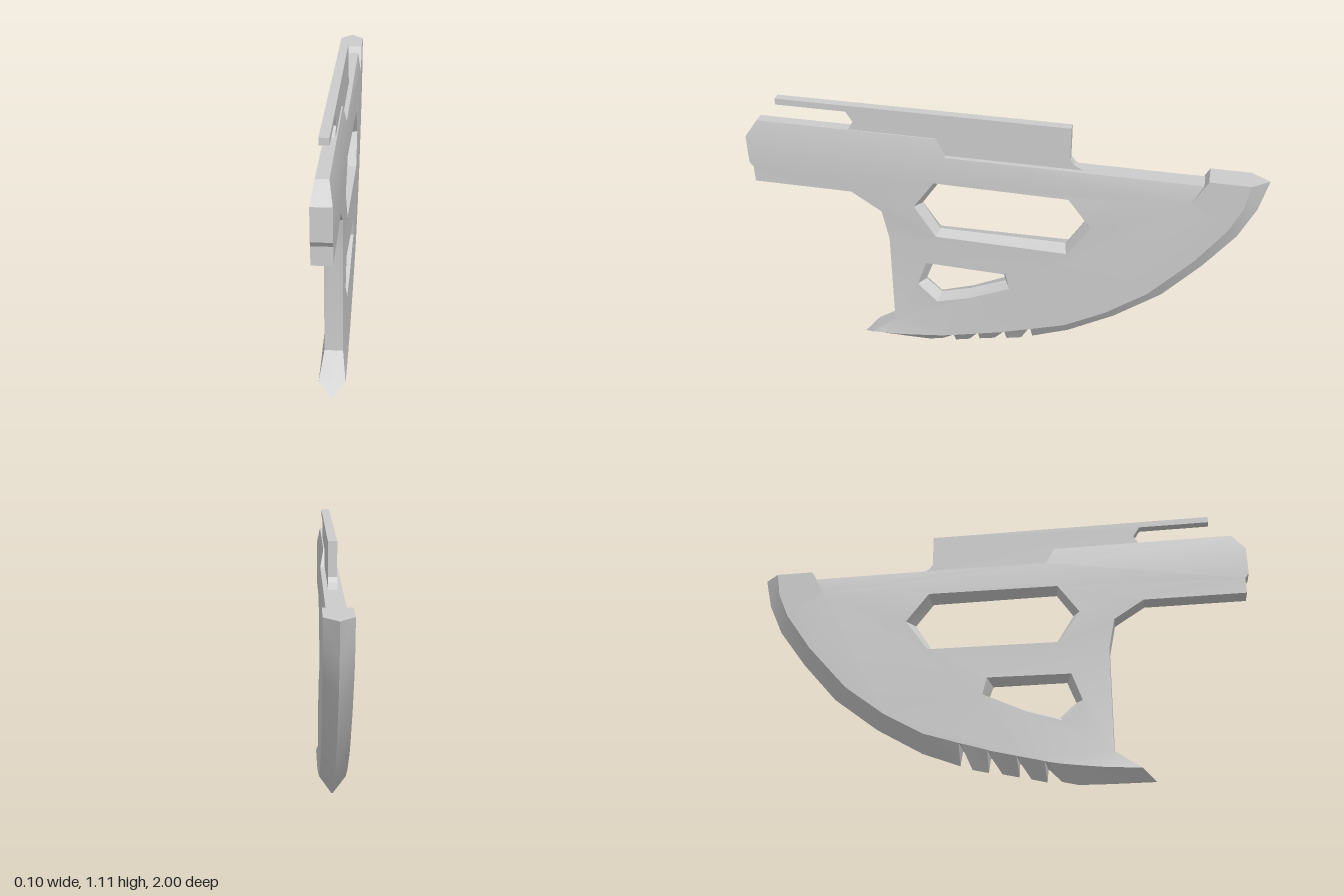
import * as THREE from 'three';
import { toCreasedNormals } from 'three/addons/utils/BufferGeometryUtils.js';

// Profile points are [z, y] or [z, y, halfThickness]; every surface is mirrored across x = 0.
const EDGE = 0.05, THIN = 0.035;

// Blade rows: crest z, crest y, cutting edge z, cutting edge y (serrated near the front)
const ROWS = [
  [0.54, 0.045, 0.59, 0.003], [0.41, 0.053, 0.42, 0.003], [0.29, 0.068, 0.3, 0.005],
  [0.235, 0.076, 0.24, 0.02], [0.19, 0.085, 0.19, 0.072], [0.18, 0.088, 0.185, 0.02],
  [0.12, 0.103, 0.125, 0.035], [0.083, 0.112, 0.083, 0.103], [0.075, 0.114, 0.08, 0.045],
  [0.01, 0.13, 0.015, 0.06], [-0.03, 0.14, -0.03, 0.132], [-0.037, 0.143, -0.037, 0.068],
  [-0.1, 0.163, -0.1, 0.083], [-0.137, 0.174, -0.137, 0.166], [-0.147, 0.177, -0.147, 0.1],
  [-0.287, 0.222, -0.297, 0.158], [-0.447, 0.313, -0.48, 0.265], [-0.608, 0.436, -0.66, 0.404],
  [-0.77, 0.62, -0.8, 0.565], [-0.876, 0.774, -0.913, 0.72], [-0.92, 0.876, -0.972, 0.85],
  [-0.935, 0.972, -1, 0.972],
];
const CREST = ROWS.map(([z, y]) => [z, y, EDGE]);

// The plate thickens away from its front and top edges
function halfThickness([z, y, h]) {
  if (h !== undefined) return h;
  const t = Math.min((0.44 - z) / 0.5, (0.945 - y) / 0.12, 1);
  return THIN + (EDGE - THIN) * Math.max(0, t);
}
const at = (p, x = halfThickness(p)) => [x, p[1], p[0]];

// Collects triangles together with their mirror images
class Surface {
  constructor() { this.data = []; }
  tri(a, b, c) {
    const flip = ([x, y, z]) => [-x, y, z];
    this.data.push(...a, ...b, ...c, ...flip(a), ...flip(c), ...flip(b));
  }
  quad(a, b, c, d) { this.tri(a, b, c); this.tri(a, c, d); }
  // Wall from the middle plane (p0, q0) out to the face (p, q)
  wall(p, q, p0 = p, q0 = q) { this.quad(at(p0, 0), at(q0, 0), at(q), at(p)); }
  // Flat side face with optional holes
  face(outline, holes = []) {
    const flat = (list) => list.map(([z, y]) => new THREE.Vector2(-z, y));
    const all = [outline, ...holes].flat();
    const pts = flat(all);
    for (const [i, j, k] of THREE.ShapeUtils.triangulateShape(flat(outline), holes.map(flat))) {
      const ccw = pts[j].clone().sub(pts[i]).cross(pts[k].clone().sub(pts[i])) > 0;
      const [a, b, c] = (ccw ? [i, j, k] : [i, k, j]).map((n) => at(all[n]));
      this.tri(a, b, c);
    }
  }
  mesh(name, material) {
    const g = new THREE.BufferGeometry();
    g.setAttribute('position', new THREE.Float32BufferAttribute(this.data, 3));
    const m = new THREE.Mesh(toCreasedNormals(g, 0.55), material);
    m.name = name;
    return m;
  }
}

// Window outlines on the face, and the narrower ones at the middle plane
const WINDOWS = [
  {
    outer: [[0.33, 0.71], [0.245, 0.83], [-0.28, 0.83], [-0.372, 0.71], [-0.28, 0.58], [0.245, 0.58]],
    inner: [[0.303, 0.71], [0.238, 0.806], [-0.275, 0.806], [-0.34, 0.71], [-0.27, 0.597], [0.235, 0.597]],
  },
  {
    outer: [[0.33, 0.33], [0.29, 0.442], [-0.04, 0.442], [-0.056, 0.372], [0.115, 0.292], [0.25, 0.25]],
    inner: [[0.303, 0.335], [0.27, 0.42], [-0.02, 0.42], [-0.035, 0.378], [0.115, 0.313], [0.238, 0.276]],
  },
];

function plate(material) {
  const s = new Surface();
  const crest = CREST.slice(0, -2);
  const outline = [
    ...crest, [-0.73, 0.87, EDGE], [-0.772, 0.945], [-0.325, 0.945], [0.2, 0.945], [1, 0.945],
    [1, 0.83], [0.985, 0.81], [0.985, 0.745], [0.585, 0.745], [0.465, 0.667], [0.44, 0.54], [0.44, 0.12],
  ];
  s.face(outline, WINDOWS.map((w) => w.outer));
  for (let i = crest.length + 1; i < outline.length; i++) {
    s.wall(outline[i], outline[(i + 1) % outline.length]);
  }
  // bevelled window walls
  for (const { outer, inner } of WINDOWS) {
    outer.forEach((p, i) => {
      const j = (i + 1) % outer.length;
      s.wall(p, outer[j], inner[i], inner[j]);
    });
  }
  // tapered top of the front arm
  const top = [[0.2, 0.945], [0.235, 1.015, 0.022], [0.95, 1.015, 0.022], [1, 0.945]];
  s.face(top);
  for (let i = 0; i < 3; i++) s.wall(top[i], top[i + 1]);
  return s.mesh('plate', material);
}

function blade(material) {
  const s = new Surface();
  for (let i = 0; i < ROWS.length - 1; i++) {
    const e = ROWS.slice(i, i + 2).map((r) => [0, r[3], r[2]]);
    s.quad(e[0], e[1], at(CREST[i + 1]), at(CREST[i]));
  }
  // pointed ends
  const first = ROWS[0], last = ROWS[ROWS.length - 1];
  s.tri(at(first, 0), [0, first[3], first[2]], at(first, EDGE));
  s.tri([0, last[3], last[2]], at(last, 0), at(last, EDGE));
  return s.mesh('blade', material);
}

// Raised shoulder at the upper end of the blade
function horn(material) {
  const s = new Surface();
  const outline = [...CREST.slice(-3), [-0.785, 0.972, EDGE], [-0.73, 0.87, EDGE]];
  s.face(outline);
  s.wall(outline[2], outline[3]);
  s.wall(outline[3], outline[4]);
  return s.mesh('horn', material);
}

// Thin rail along the top with an open slot at the front
function rail(material) {
  const points = [
    [0.865, 1.115], [0.865, 1.09], [0.585, 1.09], [0.56, 1.05], [0.58, 1.015], [0.58, 0.93],
    [-0.34, 0.93], [-0.325, 0.945], [-0.29, 0.965], [-0.275, 0.985], [-0.275, 1.115],
  ];
  const shape = new THREE.Shape(points.map(([z, y]) => new THREE.Vector2(-z, y)));
  const g = new THREE.ExtrudeGeometry(shape, { depth: 0.034, bevelEnabled: false });
  g.translate(0, 0, -0.017).rotateY(Math.PI / 2);
  const m = new THREE.Mesh(g, material);
  m.name = 'topRail';
  return m;
}

export function createModel() {
  const material = new THREE.MeshStandardMaterial({ color: 0xcccccc });
  const group = new THREE.Group();
  group.name = 'axeHead';
  group.add(plate(material), blade(material), horn(material), rail(material));
  return group;
}
